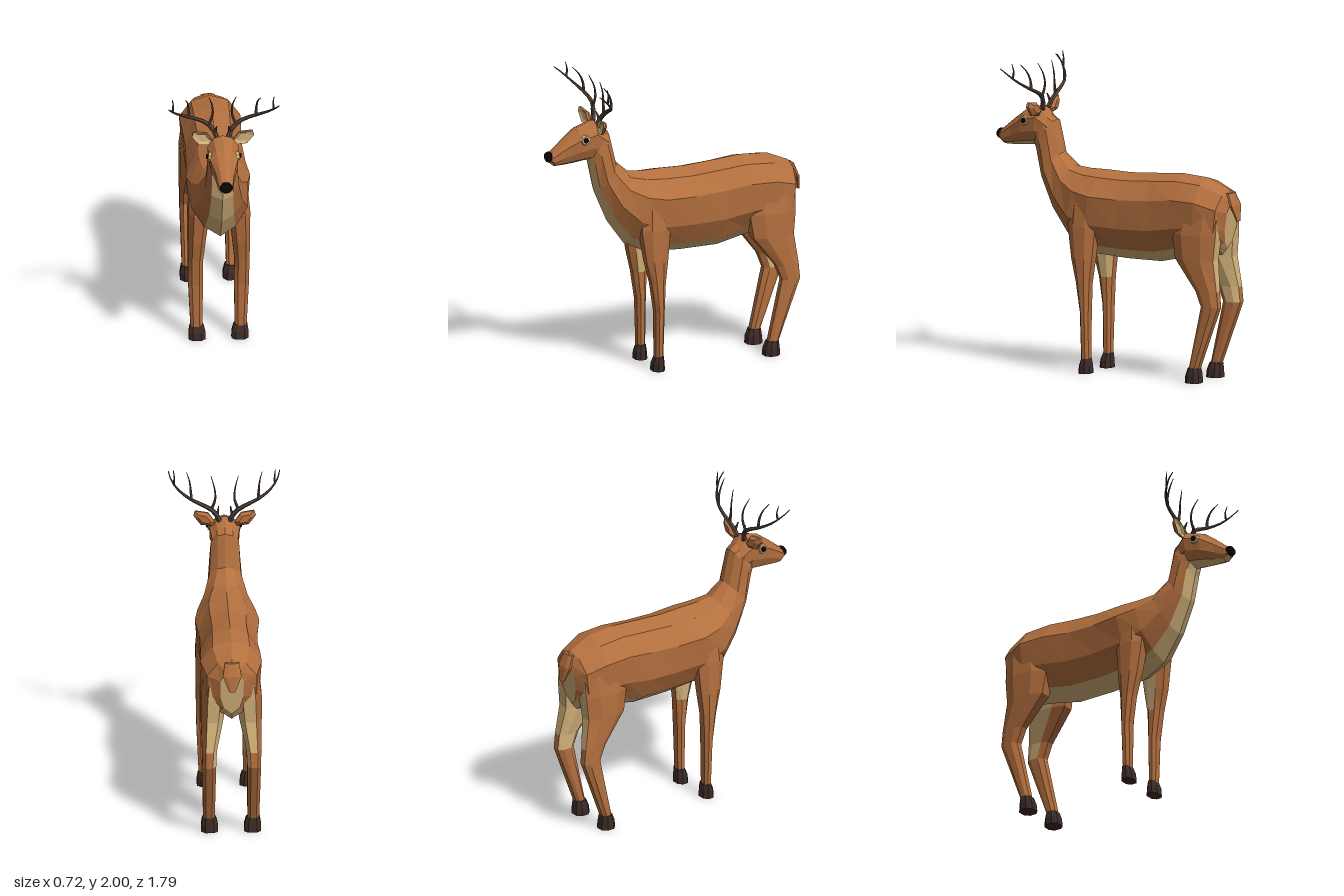
import * as THREE from 'three';

const FUR = 0xb4703f, CREAM = 0xd6b47c, HOOF = 0x3c2b27, HORN = 0x54443a, BLACK = 0x0a0a0a;
const V = (x, y, z) => new THREE.Vector3(x, y, z);

function mesh(name, geometry, color, side = THREE.FrontSide) {
  const m = new THREE.Mesh(geometry, new THREE.MeshStandardMaterial({ color: 0xcccccc, flatShading: true, side }));
  m.material.color.set(color);
  m.name = name;
  return m;
}

// Closed skin over a row of cross-sections; colorOf(section, band) picks the colour (caps have band -1)
function loft(name, rings, colorOf) {
  const tris = [], n = rings[0].length;
  for (let i = 0; i < rings.length - 1; i++) {
    for (let j = 0; j < n; j++) {
      const k = (j + 1) % n, a = rings[i][j], b = rings[i][k], c = rings[i + 1][k], d = rings[i + 1][j];
      tris.push([a, b, c, colorOf(i, j)], [a, c, d, colorOf(i, j)]);
    }
  }
  [[rings[0], 0], [rings[rings.length - 1], rings.length - 1]].forEach(([ring, i], end) => {
    const mid = ring.reduce((s, p) => s.add(p), V(0, 0, 0)).divideScalar(n);
    ring.forEach((p, j) => {
      const q = ring[(j + 1) % n];
      tris.push(end ? [p, q, mid, colorOf(i, -1)] : [q, p, mid, colorOf(i, -1)]);
    });
  });
  // Turn the skin outward, whichever way the sections run
  const volume = tris.reduce((s, [a, b, c]) => s + a.dot(b.clone().cross(c)), 0);
  const byColor = new Map();
  for (const [a, b, c, color] of tris) {
    if (!byColor.has(color)) byColor.set(color, []);
    byColor.get(color).push(...(volume > 0 ? [a, b, c] : [a, c, b]));
  }
  const group = new THREE.Group();
  group.name = name;
  for (const [color, pts] of byColor) {
    const g = new THREE.BufferGeometry().setFromPoints(pts);
    g.computeVertexNormals();
    group.add(mesh(name + (color === CREAM ? 'Pale' : 'Surface'), g, color));
  }
  return group;
}

// Symmetric ten-sided section: top y,z, bottom y,z, then four half widths from back to belly
const DEPTHS = [0.07, 0.28, 0.62, 0.87];
function trunkRing([yt, zt, yb, zb, ...w]) {
  const at = (x, t) => V(x, yt + (yb - yt) * t, zt + (zb - zt) * t);
  const side = s => w.map((x, i) => at(s * x, DEPTHS[i]));
  return [at(0, 0), ...side(1), at(0, 1), ...side(-1).reverse()];
}
const isBelly = j => j === 4 || j === 5;

// Level eight-sided section: y, inner x, outer x, back z, front z
function limbRing([y, x0, x1, z0, z1], s = 1) {
  const cx = (x0 + x1) / 2, cz = (z0 + z1) / 2, rx = (x1 - x0) / 2, rz = (z1 - z0) / 2;
  return [[1, -0.45], [1, 0.45], [0.5, 1], [-0.5, 1], [-1, 0.45], [-1, -0.45], [-0.5, -1], [0.5, -1]]
    .map(([a, b]) => V(s * (cx + a * rx), y, cz + b * rz));
}

// Tapering branch through a few points
function branch(points, r0, r1, s) {
  const curve = new THREE.CatmullRomCurve3(points.map(([x, y, z]) => V(s * x, y, z)));
  const segs = 10, sides = 6;
  const g = new THREE.TubeGeometry(curve, segs, 1, sides);
  const p = g.attributes.position, v = V(0, 0, 0);
  for (let i = 0; i < p.count; i++) {
    const t = Math.floor(i / (sides + 1)) / segs, c = curve.getPointAt(t);
    v.fromBufferAttribute(p, i).sub(c).multiplyScalar(r0 + (r1 - r0) * t).add(c);
    p.setXYZ(i, v.x, v.y, v.z);
  }
  g.computeVertexNormals();
  return g;
}

export function createModel() {
  const model = new THREE.Group();
  model.name = 'deer';

  // Neck and torso in one skin, from nape to rump
  const trunk = [
    [1.66, 0.53, 1.44, 0.60, 0.05, 0.08, 0.08, 0.06],
    [1.61, 0.45, 1.39, 0.585, 0.05, 0.09, 0.095, 0.07],
    [1.40, 0.40, 1.22, 0.55, 0.05, 0.10, 0.11, 0.07],
    [1.32, 0.31, 1.01, 0.46, 0.08, 0.14, 0.14, 0.08],
    [1.31, 0.20, 0.84, 0.34, 0.105, 0.185, 0.18, 0.10],
    [1.31, 0.08, 0.76, 0.18, 0.12, 0.207, 0.19, 0.11],
    [1.305, -0.10, 0.745, -0.06, 0.115, 0.19, 0.178, 0.105],
    [1.317, -0.30, 0.745, -0.32, 0.11, 0.182, 0.175, 0.105],
    [1.33, -0.48, 0.785, -0.50, 0.115, 0.19, 0.18, 0.10],
    [1.315, -0.67, 0.81, -0.64, 0.12, 0.197, 0.185, 0.09],
    [1.25, -0.82, 0.82, -0.77, 0.09, 0.16, 0.16, 0.08],
    [1.20, -0.86, 0.87, -0.81, 0.04, 0.075, 0.075, 0.05],
  ];
  model.add(loft('torso', trunk.map(trunkRing), (i, j) => j < 0 || isBelly(j) ? CREAM : FUR));

  // Head, with pale jaw
  const head = [
    [1.60, 0.46, 1.46, 0.53, 0.04, 0.08, 0.08, 0.05],
    [1.695, 0.55, 1.435, 0.59, 0.06, 0.10, 0.095, 0.07],
    [1.66, 0.67, 1.425, 0.69, 0.05, 0.092, 0.085, 0.06],
    [1.585, 0.77, 1.42, 0.77, 0.035, 0.06, 0.06, 0.045],
    [1.515, 0.855, 1.42, 0.83, 0.025, 0.045, 0.045, 0.03],
    [1.50, 0.87, 1.45, 0.865, 0.02, 0.035, 0.035, 0.02],
  ];
  model.add(loft('head', head.map(trunkRing), (i, j) => isBelly(j) ? CREAM : FUR));

  const nose = mesh('nose', new THREE.SphereGeometry(1, 8, 5), BLACK);
  nose.scale.set(0.043, 0.036, 0.032);
  nose.position.set(0, 1.485, 0.863);
  model.add(nose);

  // Tail
  const tail = [[1.23, -0.045, 0.045, -0.85, -0.81], [1.15, -0.06, 0.06, -0.882, -0.85], [1.05, -0.02, 0.02, -0.895, -0.878]];
  model.add(loft('tail', tail.map(r => limbRing(r)), (i, j) => j >= 2 && j <= 2 ? CREAM : FUR));

  const frontLeg = [
    [0.08, 0.105, 0.18, 0.13, 0.182], [0.40, 0.10, 0.195, 0.125, 0.187], [0.59, 0.10, 0.198, 0.118, 0.215],
    [0.74, 0.085, 0.20, 0.10, 0.25], [0.95, 0.06, 0.20, 0.08, 0.28], [1.12, 0.05, 0.185, 0.10, 0.26],
  ];
  const hindLeg = [
    [0.08, 0.105, 0.18, -0.675, -0.61], [0.50, 0.10, 0.188, -0.83, -0.705], [0.60, 0.095, 0.19, -0.82, -0.665],
    [0.80, 0.05, 0.195, -0.79, -0.51], [0.96, 0.03, 0.195, -0.805, -0.485], [1.12, 0.03, 0.175, -0.81, -0.52],
  ];
  const earOutline = [[0.06, 1.655], [0.105, 1.72], [0.19, 1.732], [0.2, 1.70], [0.155, 1.64], [0.08, 1.632]];

  for (const s of [1, -1]) {
    const side = s > 0 ? 'left' : 'right';

    // Legs with pale inner thighs
    const pale = (i, j) => i >= 2 && j >= 4 && j <= 5 ? CREAM : FUR;
    const paleBack = (i, j) => i >= 1 && j >= 4 && j <= 6 && (j < 6 || i >= 2) ? CREAM : FUR;
    model.add(loft(side + 'FrontLeg', frontLeg.map(r => limbRing(r, s)), pale));
    model.add(loft(side + 'HindLeg', hindLeg.map(r => limbRing(r, s)), paleBack));

    // Hooves
    for (const [name, z0, z1] of [['FrontHoof', 0.12, 0.202], ['HindHoof', -0.69, -0.585]]) {
      const rings = [[0, 0.083, 0.192, z0, z1], [0.05, 0.085, 0.192, z0 + 0.003, z1 - 0.005], [0.097, 0.097, 0.185, z0 + 0.008, z1 - 0.022]];
      model.add(loft(side + name, rings.map(r => limbRing(r, s)), () => HOOF));
    }

    // Ear: thick brown back, pale hollow facing forward
    const centre = [0.13, 1.685];
    const earRing = (k, z) => earOutline.map(([x, y]) =>
      V(s * (centre[0] + (x - centre[0]) * k), centre[1] + (y - centre[1]) * k, z + (x - 0.13) * 0.08));
    const ear = loft(side + 'Ear', [earRing(0.55, 0.525), earRing(1, 0.545), earRing(1, 0.562), earRing(0.6, 0.552)],
      i => i >= 2 ? CREAM : FUR);
    model.add(ear);

    // Eye: pale rim with dark ball
    const eye = new THREE.Group();
    eye.name = side + 'Eye';
    const rim = mesh('eyeRim', new THREE.CylinderGeometry(0.028, 0.035, 0.02, 8), CREAM);
    const ball = mesh('eyeball', new THREE.CylinderGeometry(0.014, 0.021, 0.02, 8), BLACK);
    ball.position.y = 0.012;
    eye.add(rim, ball);
    eye.position.set(s * 0.092, 1.595, 0.645);
    eye.rotation.set(0.1, 0, -s * 1.45);
    model.add(eye);

    // Antler: main beam and tines
    const antler = new THREE.Group();
    antler.name = side + 'Antler';
    const add = (name, pts, r0, r1) => antler.add(mesh(name, branch(pts, r0, r1, s), HORN));
    add('beam', [[0.035, 1.67, 0.54], [0.065, 1.735, 0.52], [0.13, 1.785, 0.508], [0.22, 1.825, 0.525],
      [0.305, 1.88, 0.575], [0.345, 1.93, 0.625], [0.358, 1.965, 0.668]], 0.018, 0.003);
    add('browTine', [[0.05, 1.71, 0.53], [0.042, 1.74, 0.54], [0.038, 1.765, 0.55]], 0.012, 0.003);
    add('firstTine', [[0.085, 1.76, 0.515], [0.062, 1.83, 0.508], [0.066, 1.90, 0.515], [0.088, 1.975, 0.545]], 0.011, 0.002);
    add('secondTine', [[0.215, 1.825, 0.522], [0.218, 1.88, 0.525], [0.226, 1.94, 0.55], [0.243, 1.985, 0.59]], 0.011, 0.002);
    add('thirdTine', [[0.325, 1.90, 0.595], [0.322, 1.95, 0.59], [0.328, 1.998, 0.6]], 0.008, 0.002);
    model.add(antler);
  }
  return model;
}
